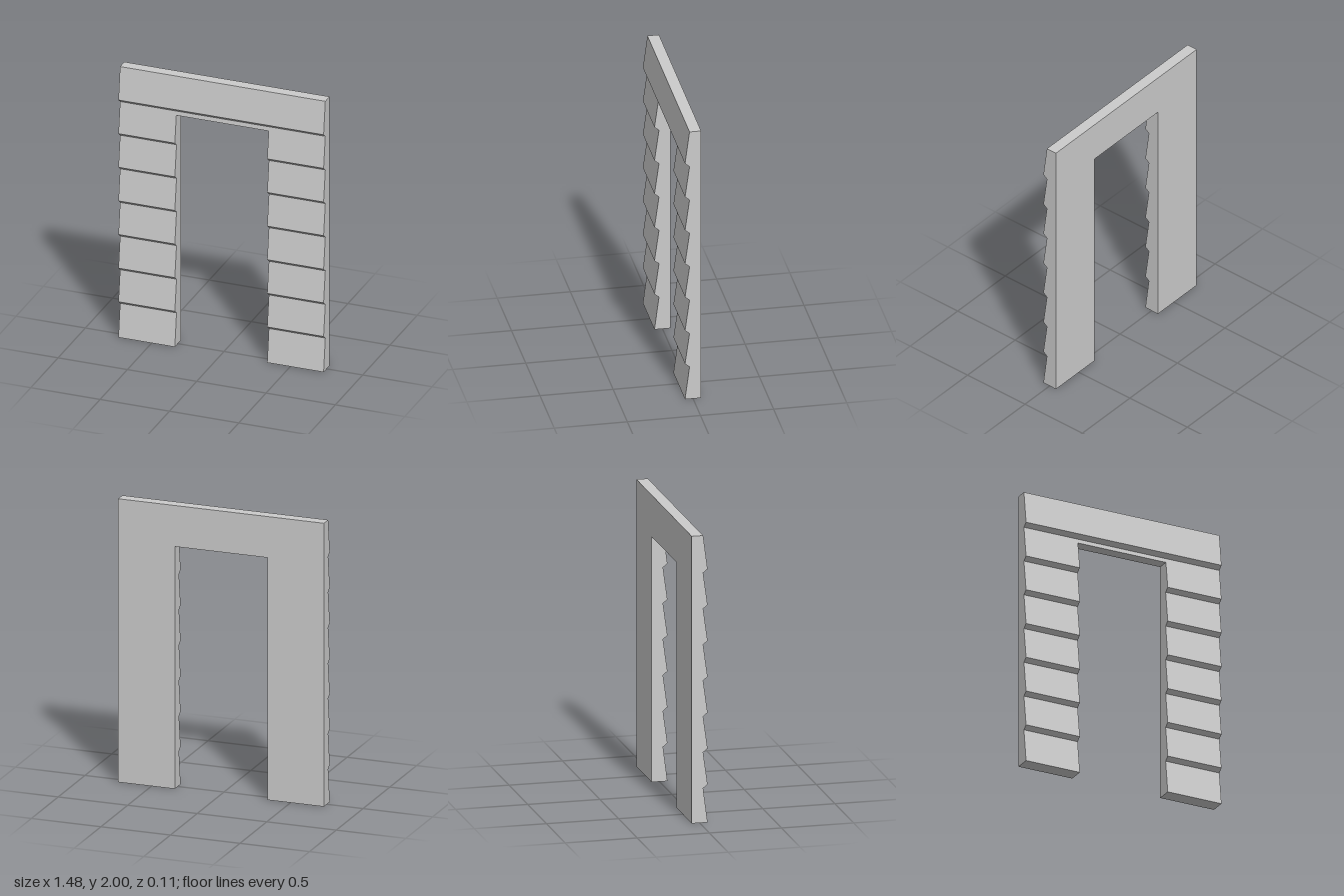
import * as THREE from 'three';

const HALF = 0.74, OPEN = 0.333, HEAD = 1.71, TOP = 2;
const BACK = -0.055, OUT = 0.055, IN = 0.024;

// Slanted siding boards as [z, y], from the top down to the ground, cut at the door head
const upperFront = [[IN, TOP]], lowerFront = [];
for (let i = 7; i >= 1; i--) {
  const lip = [[OUT, i * 0.25 + 0.015], [IN, i * 0.25 - 0.01]];
  (i === 7 ? upperFront : lowerFront).push(...lip);
}
lowerFront.push([OUT, 0]);
const [zTop, yTop] = upperFront.at(-1), [zLip, yLip] = lowerFront[0];
const cut = [zTop + (zLip - zTop) * (yTop - HEAD) / (yTop - yLip), HEAD];
upperFront.push(cut);
lowerFront.unshift(cut);

// Sweeps an open [z, y] line from x0 to x1, one flat quad per segment
function sweep(points, x0, x1) {
  const pos = [];
  for (let i = 0; i < points.length - 1; i++) {
    const [az, ay] = points[i], [bz, by] = points[i + 1];
    pos.push(x0, ay, az, x0, by, bz, x1, by, bz, x0, ay, az, x1, by, bz, x1, ay, az);
  }
  const geo = new THREE.BufferGeometry();
  geo.setAttribute('position', new THREE.Float32BufferAttribute(pos, 3));
  geo.computeVertexNormals();
  return geo;
}

// Flat end of a closed [z, y] outline at x, facing +x or -x
function endCap(points, x, facing) {
  const flip = facing > 0 ? -1 : 1;
  const shape = new THREE.Shape(points.map(([z, y]) => new THREE.Vector2(flip * z, y)));
  return new THREE.ShapeGeometry(shape).rotateY(facing * Math.PI / 2).translate(x, 0, 0);
}

export function createModel() {
  const model = new THREE.Group();
  model.name = 'sidedDoorwayWall';
  const material = new THREE.MeshStandardMaterial({ color: 0xcccccc, flatShading: true });

  function part(name, geometries) {
    const group = new THREE.Group();
    group.name = name;
    for (const geo of geometries) {
      const mesh = new THREE.Mesh(geo, material);
      mesh.name = name + 'Surface';
      group.add(mesh);
    }
    model.add(group);
  }

  // Wall beside the opening: open at the top, where the header continues it
  const postLine = [...lowerFront, [BACK, 0], [BACK, HEAD]];
  for (const [name, x0, x1] of [['leftPost', OPEN, HALF], ['rightPost', -HALF, -OPEN]]) {
    part(name, [sweep(postLine, x0, x1), endCap(postLine, x1, 1), endCap(postLine, x0, -1)]);
  }

  // Header across the full width, with its underside only over the opening
  const headerLine = [[BACK, HEAD], [BACK, TOP], ...upperFront];
  part('header', [
    sweep(headerLine, -HALF, HALF),
    sweep([cut, [BACK, HEAD]], -OPEN, OPEN),
    endCap(headerLine, HALF, 1),
    endCap(headerLine, -HALF, -1),
  ]);
  return model;
}
